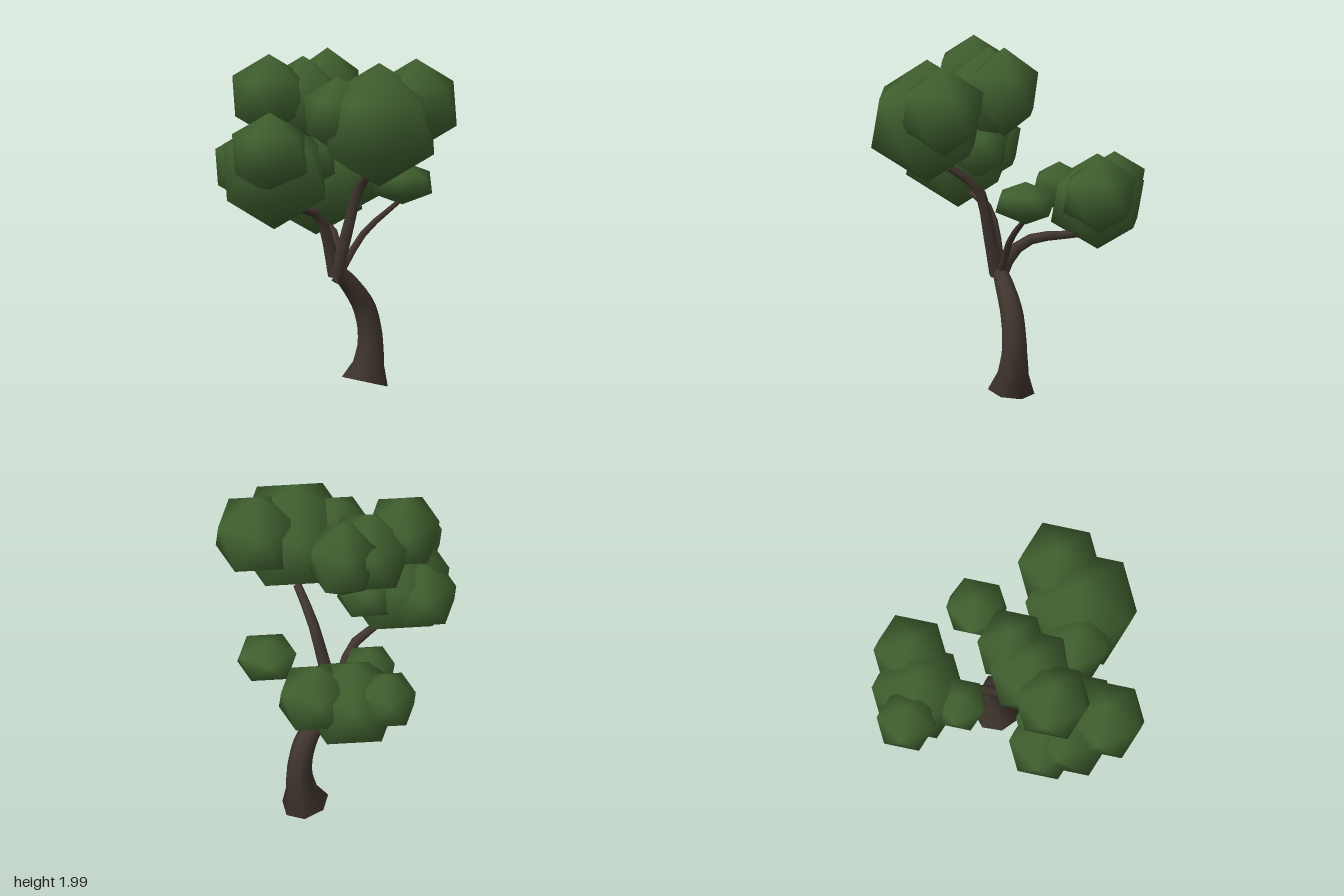
import * as THREE from 'three';

const bark = new THREE.MeshStandardMaterial({ color: 0x42372f });
bark.name = 'bark brown';
const leaf = new THREE.MeshStandardMaterial({ color: 0x40602f });
leaf.name = 'leaf green';

// Icosahedron standing on a vertex, with smooth normals
function makeClumpGeometry() {
  const geo = new THREE.IcosahedronGeometry(1, 0);
  geo.rotateZ(-Math.atan(2 / (1 + Math.sqrt(5))));
  geo.setAttribute('normal', geo.attributes.position.clone());
  return geo;
}

// Tapered limb: a unit tube whose rings are scaled by an evenly spaced radius list
function limb(name, points, radii, steps, sides) {
  const curve = new THREE.CatmullRomCurve3(points.map(p => new THREE.Vector3(...p)));
  const geo = new THREE.TubeGeometry(curve, steps, 1, sides, false);
  const pos = geo.attributes.position;
  const v = new THREE.Vector3();
  for (let i = 0; i <= steps; i++) {
    const center = curve.getPointAt(i / steps);
    const t = (i / steps) * (radii.length - 1);
    const k = Math.min(Math.floor(t), radii.length - 2);
    const r = THREE.MathUtils.lerp(radii[k], radii[k + 1], t - k);
    for (let j = 0; j <= sides; j++) {
      const n = i * (sides + 1) + j;
      v.fromBufferAttribute(pos, n).sub(center).multiplyScalar(r).add(center);
      pos.setXYZ(n, v.x, v.y, v.z);
    }
  }
  const group = new THREE.Group();
  group.name = name;
  const side = new THREE.Mesh(geo, bark);
  side.name = name + 'Bark';
  group.add(side);
  // End caps
  for (const u of [0, 1]) {
    const cap = new THREE.Mesh(new THREE.CircleGeometry(radii[u ? radii.length - 1 : 0], sides), bark);
    cap.name = name + (u ? 'Tip' : 'Base');
    cap.position.copy(curve.getPointAt(u));
    const dir = curve.getTangentAt(u).multiplyScalar(u ? 1 : -1);
    cap.quaternion.setFromUnitVectors(new THREE.Vector3(0, 0, 1), dir);
    group.add(cap);
  }
  return group;
}

export function createModel() {
  const tree = new THREE.Group();
  tree.name = 'tree';

  // Curved trunk with a flared foot
  tree.add(limb('trunk',
    [[0.28, 0.045, 0.025], [0.305, 0.14, 0.02], [0.32, 0.3, 0.015], [0.28, 0.48, 0.02], [0.19, 0.61, 0.035], [0.08, 0.72, 0.05]],
    [0.138, 0.092, 0.076, 0.07, 0.068, 0.062, 0.053, 0.04], 14, 7));

  // Branches
  tree.add(limb('frontBranch',
    [[0.08, 0.68, 0.06], [0.125, 0.95, 0.12], [0.165, 1.2, 0.19], [0.18, 1.34, 0.37]],
    [0.045, 0.038, 0.032, 0.025], 6, 6));
  tree.add(limb('rightBranch',
    [[0.08, 0.68, 0.05], [0.02, 0.92, 0.06], [-0.04, 1.04, 0.08], [-0.25, 1.11, 0.14]],
    [0.042, 0.034, 0.028, 0.02], 6, 6));
  tree.add(limb('leftBranch',
    [[0.08, 0.64, 0.05], [0.17, 0.78, 0.04], [0.28, 0.92, 0.03], [0.53, 1.09, 0]],
    [0.026, 0.022, 0.019, 0.014], 6, 5));
  tree.add(limb('backBranch',
    [[0.09, 0.68, 0.04], [0.12, 0.81, -0.02], [0.15, 0.89, -0.12], [0.2, 0.92, -0.4]],
    [0.042, 0.034, 0.028, 0.02], 6, 6));

  // Foliage: x, y, z, radius, height factor
  const foliage = {
    frontFoliage: [
      [0.15, 1.61, 0.49, 0.36, 1],
      [0.4, 1.71, 0.46, 0.265, 1],
      [-0.06, 1.67, 0.38, 0.22, 1],
    ],
    topFoliage: [
      [-0.36, 1.76, 0.09, 0.24, 1],
      [-0.13, 1.7, 0.06, 0.27, 1],
      [0.05, 1.74, 0.01, 0.22, 1.18],
    ],
    rightFoliage: [
      [-0.37, 1.33, 0.18, 0.335, 1],
      [-0.49, 1.47, 0.37, 0.245, 0.97],
      [-0.44, 1.34, 0, 0.225, 0.95],
      [-0.15, 1.38, 0.12, 0.2, 0.9],
    ],
    backFoliage: [
      [0.22, 1.11, -0.5, 0.3, 0.93],
      [0.43, 1.18, -0.46, 0.235, 0.93],
      [0.06, 1.18, -0.64, 0.195, 0.95],
      [0.03, 1.17, -0.32, 0.17, 0.85],
    ],
    leftFoliage: [[0.53, 1.18, 0, 0.195, 0.64]],
  };
  const clump = makeClumpGeometry();
  for (const [name, blobs] of Object.entries(foliage)) {
    const group = new THREE.Group();
    group.name = name;
    for (const [x, y, z, r, h] of blobs) {
      const mesh = new THREE.Mesh(clump, leaf);
      mesh.name = 'leafClump';
      mesh.position.set(x, y, z);
      mesh.scale.set(r, r * h, r);
      group.add(mesh);
    }
    tree.add(group);
  }
  return tree;
}
